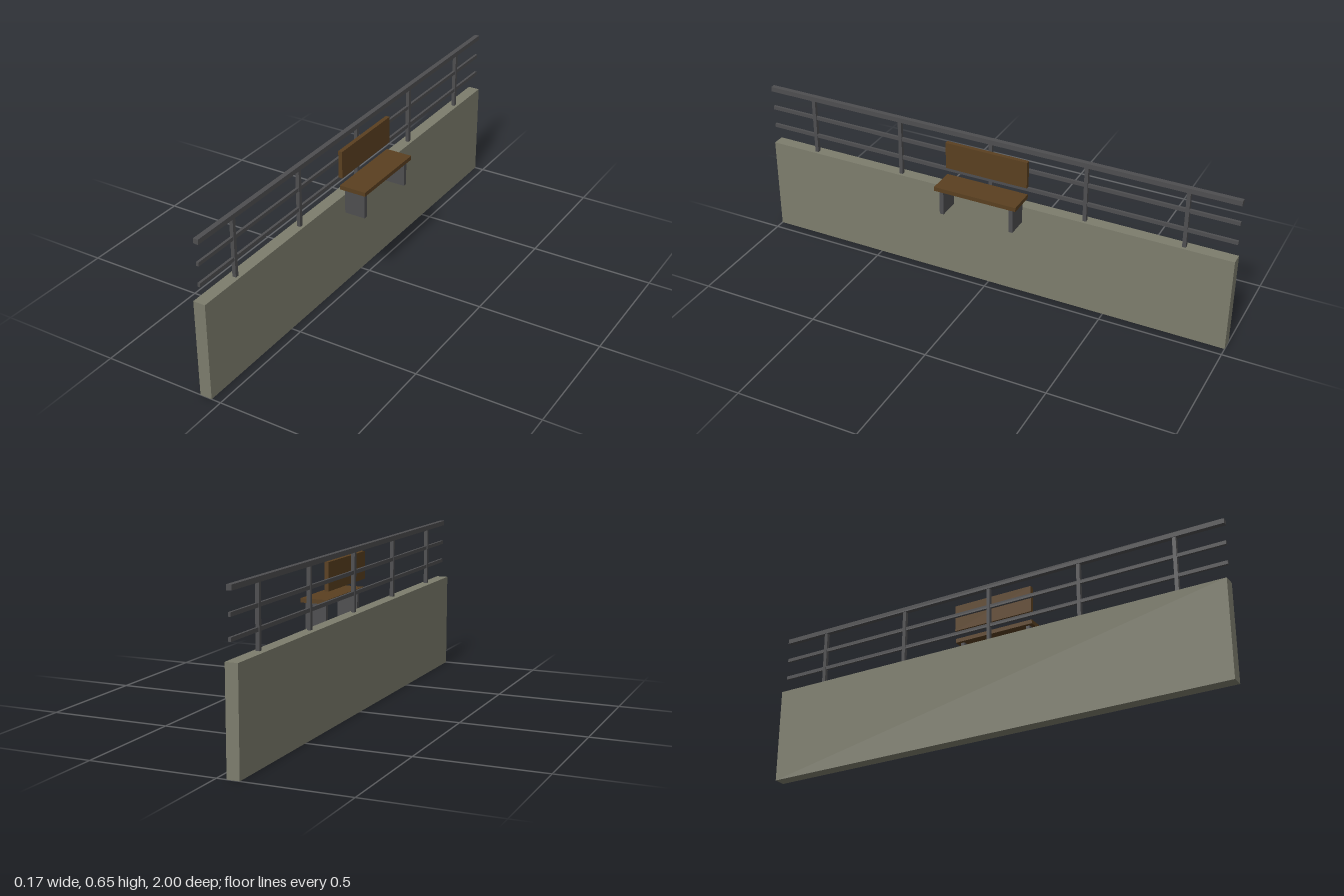
import * as THREE from 'three';

export function createModel() {
  const group = new THREE.Group();
  const mat = (name, color) => {
    const m = new THREE.MeshStandardMaterial({ color });
    m.name = name;
    return m;
  };
  const concrete = mat('concrete', 0x7d7d6d);
  const metal = mat('dark metal', 0x4e4e50);
  const wood = mat('brown wood', 0x5a4020);

  // Box given by its extents along each axis
  const box = (name, material, [x0, x1], [y0, y1], [z0, z1], parent = group) => {
    const mesh = new THREE.Mesh(new THREE.BoxGeometry(x1 - x0, y1 - y0, z1 - z0), material);
    mesh.position.set((x0 + x1) / 2, (y0 + y1) / 2, (z0 + z1) / 2);
    mesh.name = name;
    parent.add(mesh);
  };

  // Low wall
  box('wall', concrete, [-0.0875, -0.0385], [0, 0.397], [-1, 1]);

  // Railing: handrail, two thin rails and five posts
  const railing = new THREE.Group();
  railing.name = 'railing';
  group.add(railing);
  box('handrail', metal, [-0.068, -0.048], [0.632, 0.652], [-1, 1], railing);
  for (const y of [0.4715, 0.554]) {
    box('midRail', metal, [-0.063, -0.053], [y - 0.0075, y + 0.0075], [-1, 1], railing);
  }
  for (const z of [-0.8, -0.4, 0, 0.4, 0.8]) {
    box('post', metal, [-0.0655, -0.0505], [0.397, 0.632], [z - 0.0075, z + 0.0075], railing);
  }

  // Bench with a separate backrest and two slab legs
  const bench = new THREE.Group();
  bench.name = 'bench';
  group.add(bench);
  box('seat', wood, [-0.025, 0.0868], [0.452, 0.469], [-0.174, 0.174], bench);
  box('backrest', wood, [-0.0305, -0.0135], [0.502, 0.614], [-0.174, 0.174], bench);
  for (const z of [-0.149, 0.149]) {
    box('leg', metal, [-0.0125, 0.0745], [0.346, 0.452], [z - 0.0085, z + 0.0085], bench);
  }
  return group;
}
